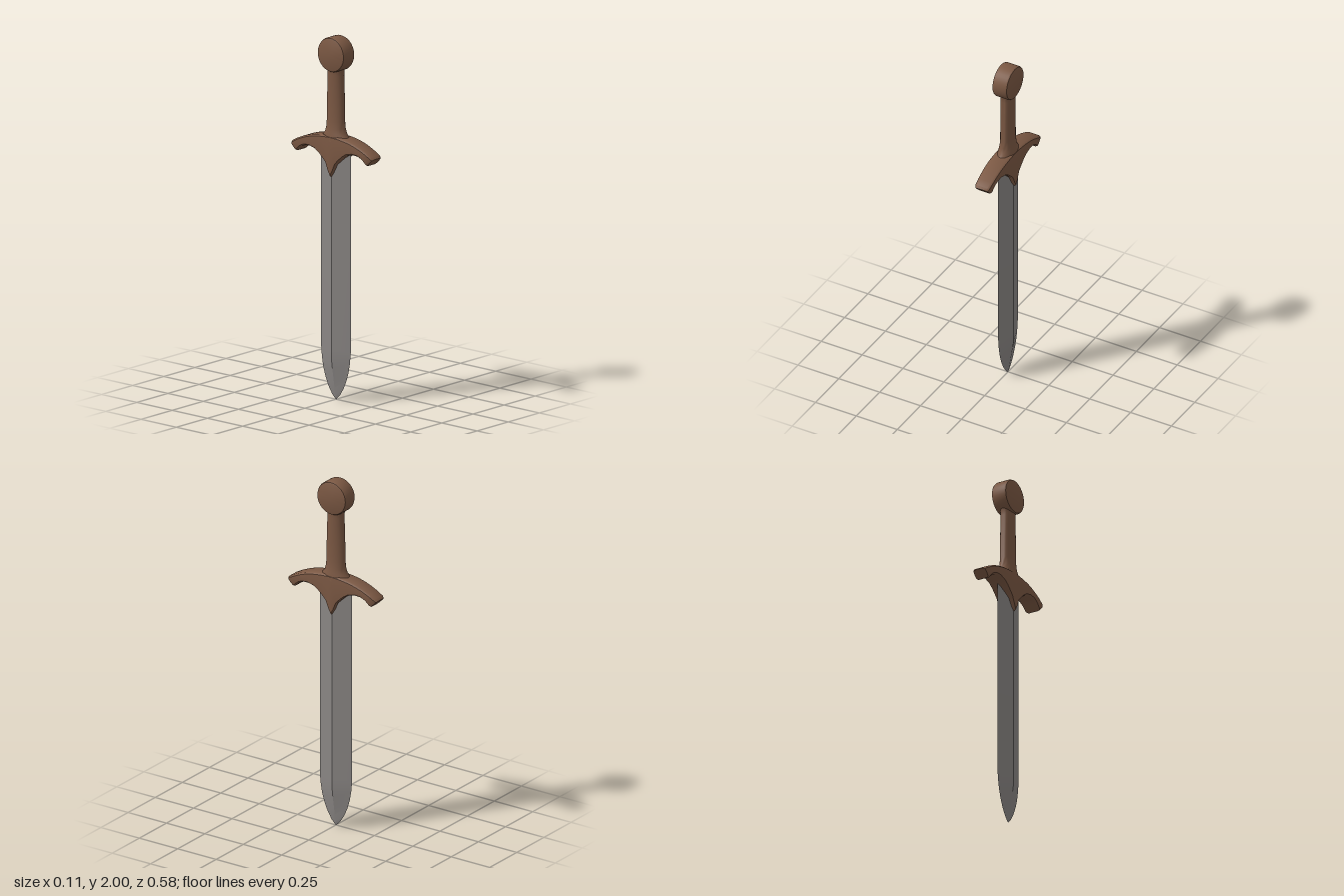
import * as THREE from 'three';
import { toCreasedNormals } from 'three/addons/utils/BufferGeometryUtils.js';

// Closed skin over rings of points; each ring runs counter-clockwise about the path.
function loft(rings, crease) {
  const pos = [];
  const tri = (...pts) => pts.forEach((p) => pos.push(...p));
  const n = rings[0].length;
  for (let r = 0; r < rings.length - 1; r++) {
    const a = rings[r], b = rings[r + 1];
    for (let i = 0; i < n; i++) {
      const j = (i + 1) % n;
      tri(a[i], a[j], b[j]);
      tri(a[i], b[j], b[i]);
    }
  }
  const first = rings[0], last = rings[rings.length - 1];
  for (let i = 1; i < n - 1; i++) {
    tri(first[0], first[i + 1], first[i]);
    tri(last[0], last[i], last[i + 1]);
  }
  const g = new THREE.BufferGeometry();
  g.setAttribute('position', new THREE.Float32BufferAttribute(pos, 3));
  return toCreasedNormals(g, crease);
}

// Horizontal elliptical ring; four sides give a diamond
function ellipse(y, hx, hz, sides) {
  return Array.from({ length: sides }, (_, i) => {
    const a = (i / sides) * Math.PI * 2;
    return [Math.sin(a) * hx, y, Math.cos(a) * hz];
  });
}

export function createModel() {
  const steel = new THREE.MeshStandardMaterial({ color: 0x8a8684 });
  steel.name = 'steel';
  const leather = new THREE.MeshStandardMaterial({ color: 0x7b5843 });
  leather.name = 'brown leather';

  const group = new THREE.Group();
  group.name = 'sword';
  const add = (name, geometry, material) => {
    const mesh = new THREE.Mesh(geometry, material);
    mesh.name = name;
    group.add(mesh);
  };

  // Blade: diamond section, [y, half thickness, half width]
  const blade = [
    [0.005, 0.001, 0.002], [0.03, 0.005, 0.027], [0.07, 0.012, 0.053], [0.12, 0.02, 0.075],
    [0.17, 0.028, 0.09], [0.22, 0.035, 0.099], [0.28, 0.035, 0.105], [1.41, 0.035, 0.105],
  ];
  add('blade', loft(blade.map(([y, x, z]) => ellipse(y, x, z, 4)), 0.45), steel);

  // Crossguard half: top [z, y], bottom [z, y], half thickness at top, middle and bottom
  const half = [
    [0, 1.46, 0, 1.235, 0.048, 0.055, 0.05],
    [0.015, 1.46, 0.015, 1.262, 0.048, 0.054, 0.05],
    [0.035, 1.459, 0.033, 1.305, 0.048, 0.053, 0.049],
    [0.06, 1.457, 0.058, 1.33, 0.048, 0.052, 0.049],
    [0.085, 1.454, 0.08, 1.35, 0.048, 0.051, 0.049],
    [0.12, 1.449, 0.11, 1.37, 0.048, 0.05, 0.049],
    [0.165, 1.438, 0.15, 1.38, 0.047, 0.049, 0.048],
    [0.205, 1.424, 0.185, 1.378, 0.046, 0.048, 0.047],
    [0.245, 1.406, 0.215, 1.364, 0.045, 0.046, 0.045],
    [0.28, 1.387, 0.24, 1.34, 0.043, 0.044, 0.043],
    [0.291, 1.376, 0.25, 1.335, 0.036, 0.038, 0.036],
  ];
  const guardRing = ([tz, ty, bz, by, wt, wm, wb], side) => {
    const b = 0.008 / Math.hypot(tz - bz, ty - by);
    const at = (x, t) => [x, by + (ty - by) * t, side * (bz + (tz - bz) * t)];
    const right = [[wb - 0.01, 0], [wb, b], [wm, 0.5], [wt, 1 - b], [wt - 0.01, 1]];
    const left = right.map(([x, t]) => [-x, t]).reverse();
    return [...right, ...left].map(([x, t]) => at(x, t));
  };
  const guard = [
    ...half.slice(1).reverse().map((s) => guardRing(s, -1)),
    ...half.map((s) => guardRing(s, 1)),
  ];
  add('crossguard', loft(guard, 0.75), leather);

  // Grip: oval handle flaring into the guard, [y, half thickness, half width]
  const grip = [
    [1.43, 0.05, 0.1], [1.455, 0.047, 0.083], [1.475, 0.043, 0.068], [1.5, 0.039, 0.06],
    [1.54, 0.035, 0.057], [1.66, 0.035, 0.055], [1.79, 0.035, 0.05],
    [1.815, 0.036, 0.051], [1.84, 0.04, 0.058],
  ];
  add('grip', loft(grip.map(([y, x, z]) => ellipse(y, x, z, 24)), 0.9), leather);

  // Pommel: disc with softened rims, its axis across the sword
  const rim = [
    [0, -0.046], [0.084, -0.046], [0.091, -0.043], [0.095, -0.035],
    [0.095, 0.035], [0.091, 0.043], [0.084, 0.046], [0, 0.046],
  ].map(([r, h]) => new THREE.Vector2(r, h));
  const pommel = new THREE.LatheGeometry(rim, 40);
  pommel.rotateZ(Math.PI / 2);
  pommel.translate(0, 1.905, 0);
  add('pommel', toCreasedNormals(pommel, 0.6), leather);

  return group;
}
